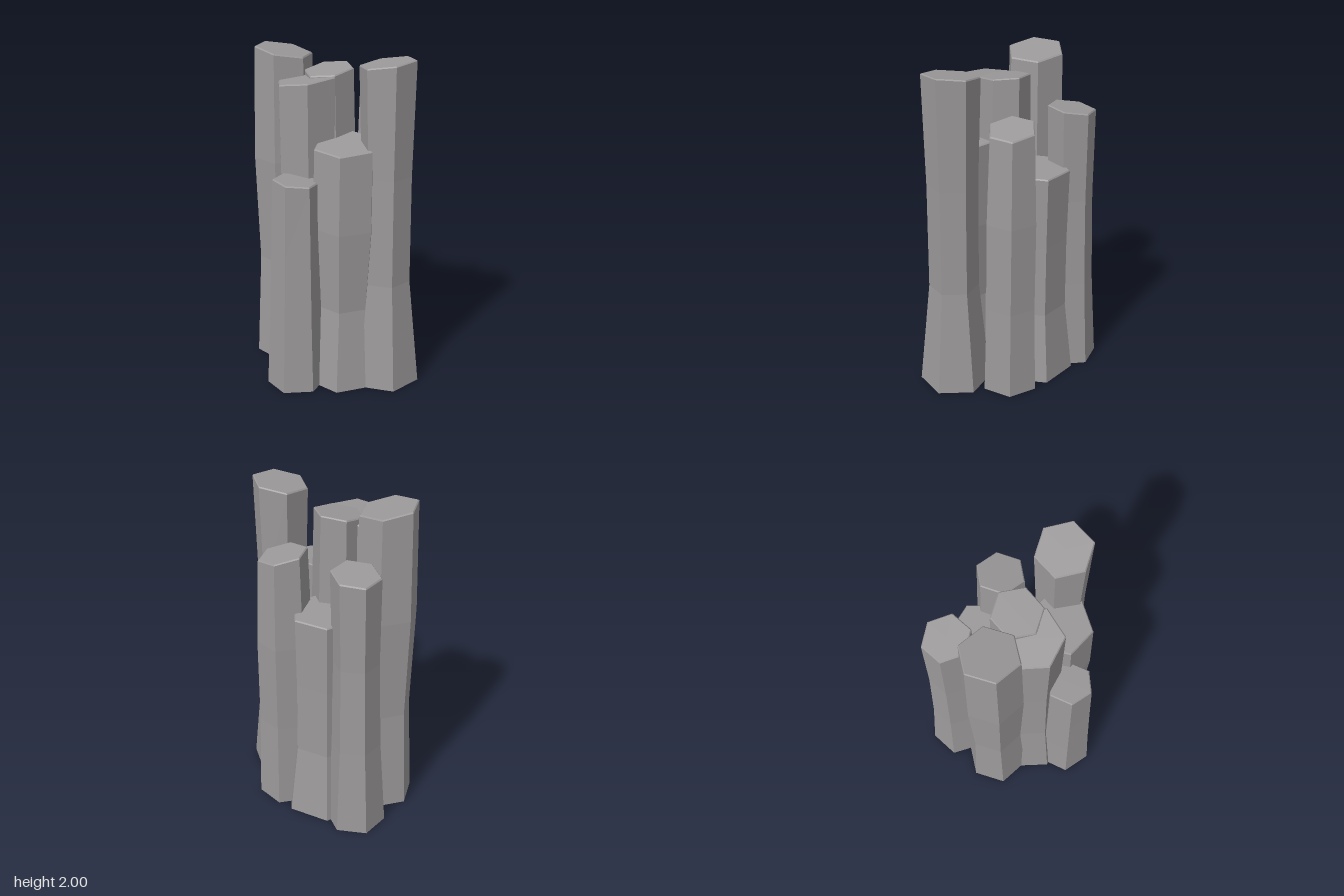
import * as THREE from 'three';

// One hexagonal stone column per entry:
// base and top: centre [x, z]; radii at base, one third, two thirds and top;
// turn: degrees of the first corner; height at the top's centre; tilt: slope of the top along [x, z]
const COLUMNS = [
  { name: 'backLeftColumn', base: [-0.27, -0.358], top: [-0.25, -0.35], radii: [0.182, 0.15, 0.138, 0.145], turn: 55, height: 1.69, tilt: [0.1, 0.1] },
  { name: 'leftColumn', base: [-0.37, -0.055], top: [-0.365, -0.055], radii: [0.195, 0.165, 0.187, 0.174], turn: 30, height: 1.97, tilt: [-0.17, 0.02] },
  { name: 'rightColumn', base: [0.325, 0.143], top: [0.322, 0.14], radii: [0.215, 0.15, 0.15, 0.167], turn: 0, height: 1.975, tilt: [0.15, 0] },
  { name: 'backRightColumn', base: [0.215, -0.182], top: [0.215, -0.19], radii: [0.18, 0.165, 0.165, 0.145], turn: 33, height: 1.68, tilt: [-0.2, 0.03] },
  { name: 'centreColumn', base: [-0.05, 0], top: [-0.067, 0], radii: [0.203, 0.16, 0.16, 0.15], turn: 0, height: 1.885, tilt: [0.1, -0.12] },
  { name: 'frontLeftColumn', base: [-0.175, 0.1], top: [-0.17, 0.11], radii: [0.25, 0.195, 0.18, 0.185], turn: 10, height: 1.845, tilt: [0.14, 0] },
  { name: 'frontRightColumn', base: [0.085, 0.22], top: [0.095, 0.2], radii: [0.22, 0.165, 0.197, 0.195], turn: 24, height: 1.5, tilt: [0, -0.12] },
  { name: 'frontShortColumn', base: [-0.172, 0.357], top: [-0.162, 0.345], radii: [0.177, 0.16, 0.148, 0.138], turn: 38, height: 1.3, tilt: [-0.09, 0.03] },
  { name: 'backShortColumn', base: [-0.04, -0.215], top: [-0.042, -0.215], radii: [0.252, 0.2, 0.198, 0.206], turn: 13, height: 1.36, tilt: [0, 0.03] },
];
const BEVEL = 0.007;

// Six-sided prism whose rings are resized and shifted, with a bevelled, tilted top
function columnGeometry({ base, top, radii, turn, height, tilt }) {
  const geometry = new THREE.CylinderGeometry(1, 1, 1, 6, 4);
  geometry.rotateY(THREE.MathUtils.degToRad(30 - turn));
  const p = geometry.attributes.position;
  const levels = [0, 1 / 3, 2 / 3, 1, 1];
  for (let i = 0; i < p.count; i++) {
    const ring = Math.round((p.getY(i) + 0.5) * 4);
    const t = levels[ring];
    const r = ring === 4 ? radii[3] - BEVEL : radii[ring];
    const dx = p.getX(i) * r;
    const dz = p.getZ(i) * r;
    let y = height * t;
    if (t === 1) y += tilt[0] * dx + tilt[1] * dz;
    if (ring === 3) y -= BEVEL;
    p.setXYZ(
      i,
      THREE.MathUtils.lerp(base[0], top[0], t) + dx,
      y,
      THREE.MathUtils.lerp(base[1], top[1], t) + dz
    );
  }
  const faceted = geometry.toNonIndexed();
  faceted.computeVertexNormals();
  return faceted;
}

export function createModel() {
  const group = new THREE.Group();
  group.name = 'stoneColumns';
  const stone = new THREE.MeshStandardMaterial({ color: 0x9c999a, flatShading: true });
  for (const column of COLUMNS) {
    const mesh = new THREE.Mesh(columnGeometry(column), stone);
    mesh.name = column.name;
    group.add(mesh);
  }
  return group;
}
